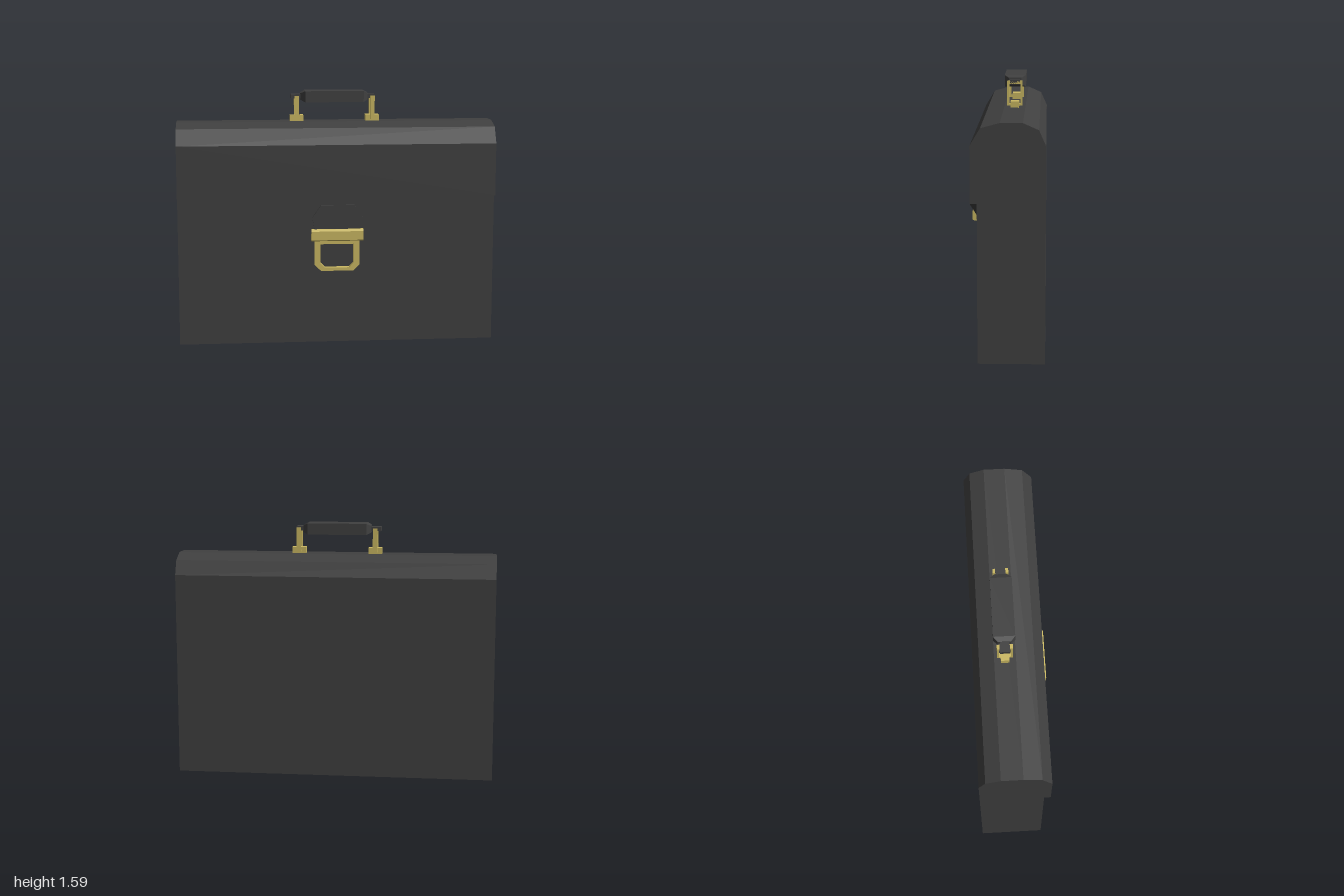
import * as THREE from 'three';

export function createModel() {
  const group = new THREE.Group();
  const leather = new THREE.MeshStandardMaterial({ name: 'charcoal leather', color: 0x404040 });
  const brass = new THREE.MeshStandardMaterial({ name: 'brass', color: 0xcab862 });

  const add = (name, geometry, material, parent = group) => {
    const mesh = new THREE.Mesh(geometry, material);
    mesh.name = name;
    parent.add(mesh);
    return mesh;
  };
  // Box given by its limits on each axis
  const box = (name, material, [x0, x1], [y0, y1], [z0, z1], parent) => {
    const g = new THREE.BoxGeometry(x1 - x0, y1 - y0, z1 - z0);
    g.translate((x0 + x1) / 2, (y0 + y1) / 2, (z0 + z1) / 2);
    return add(name, g, material, parent);
  };
  const outline = (pts) => new THREE.Shape(pts.map(([x, y]) => new THREE.Vector2(x, y)));
  const slab = (shape, z0, z1) =>
    new THREE.ExtrudeGeometry(shape, { depth: z1 - z0, bevelEnabled: false }).translate(0, 0, z0);

  // Case body: side profile (z, y) swept across the width
  const profile = [
    [0.16, 0], [0.16, 1.27], [0.2, 1.27], [0.14, 1.37], [0.03, 1.4],
    [-0.1, 1.4], [-0.19, 1.36], [-0.23, 1.27], [-0.23, 0],
  ];
  add('caseBody', slab(outline(profile.map(([z, y]) => [-z, y])), -1, 1).rotateY(Math.PI / 2), leather);

  // Front flap with a shallow V lower edge
  add('frontFlap', slab(outline([
    [-1, 1.27], [-1, 0.94], [-0.25, 0.717], [-0.2, 0.71], [0.2, 0.71], [0.25, 0.717], [1, 0.94], [1, 1.27],
  ]), 0.16, 0.2), leather);

  // Clasp: leather tab, bar and buckle frame
  add('claspTab', slab(outline([
    [-0.145, 0.73], [0.14, 0.73], [0.155, 0.815], [0.105, 0.893], [-0.105, 0.893], [-0.16, 0.815],
  ]), 0.2, 0.212), leather);
  const barProfile = [[0.16, 0.667], [0.222, 0.667], [0.234, 0.675], [0.234, 0.73], [0.222, 0.742], [0.16, 0.742]];
  add('claspBar', slab(outline(barProfile.map(([z, y]) => [-z, y])), -0.166, 0.161).rotateY(Math.PI / 2), brass);
  const frame = outline([
    [-0.145, 0.667], [-0.145, 0.51], [-0.105, 0.47], [0.1, 0.47], [0.14, 0.51], [0.14, 0.667],
  ]);
  frame.holes.push(outline([
    [-0.107, 0.642], [0.102, 0.642], [0.102, 0.52], [0.075, 0.491], [-0.08, 0.491], [-0.107, 0.52],
  ]));
  add('claspFrame', slab(frame, 0.16, 0.195), brass);

  // Handle mounts: base block and upright loop on each side
  for (const [side, x] of [['right', -0.243], ['left', 0.238]]) {
    const mount = new THREE.Group();
    mount.name = side + 'HandleMount';
    mount.position.x = x;
    group.add(mount);
    box('mountBlock', brass, [-0.043, 0.043], [1.395, 1.438], [-0.061, -0.009], mount);
    const loop = outline([[-0.012, 1.41], [0.082, 1.41], [0.082, 1.56], [-0.012, 1.56]]);
    loop.holes.push(outline([[0.0, 1.422], [0.0, 1.543], [0.07, 1.543], [0.07, 1.422]]));
    add('mountLoop', slab(loop, -0.014, 0.014).rotateY(Math.PI / 2), brass, mount);
  }

  // Handle grip: box sections along x with tapered ends
  const grip = new THREE.BoxGeometry(0.426, 0.07, 0.13, 3, 1, 1);
  const p = grip.attributes.position;
  for (let i = 0; i < p.count; i++) {
    const end = Math.abs(p.getX(i)) > 0.2;
    if (end) p.setXYZ(i, p.getX(i), p.getY(i) * 0.6, p.getZ(i) * 0.6);
    else p.setX(i, Math.sign(p.getX(i)) * 0.185);
  }
  const flatGrip = grip.toNonIndexed();
  flatGrip.computeVertexNormals();
  flatGrip.translate(-0.005, 1.556, -0.036);
  add('handleGrip', flatGrip, leather);

  // Strap ends reaching through the loops
  box('rightStrap', leather, [-0.28, -0.21], [1.543, 1.57], [-0.066, -0.006]);
  box('leftStrap', leather, [0.2, 0.252], [1.543, 1.57], [-0.066, -0.006]);

  return group;
}
